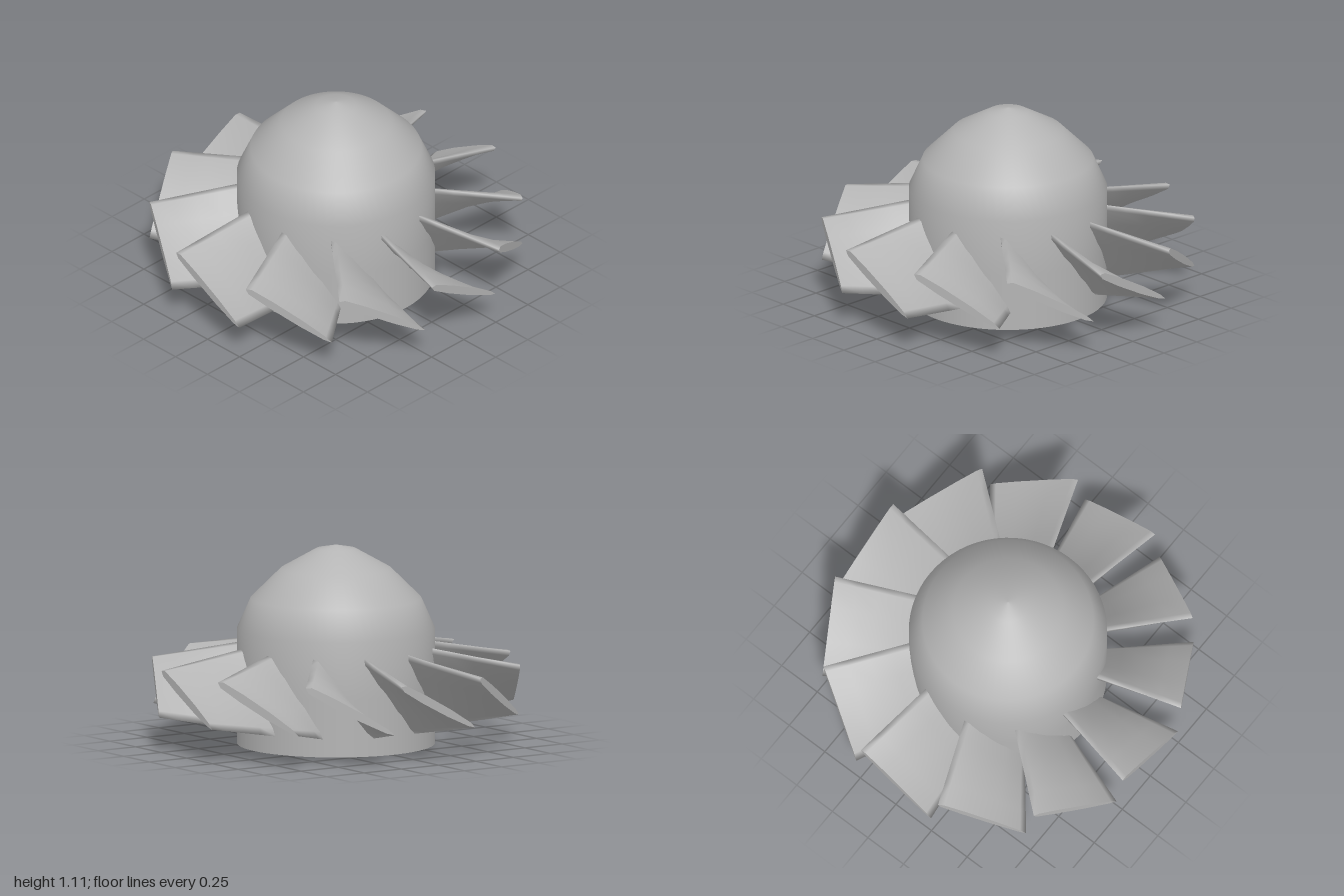
import * as THREE from 'three';

const BLADES = 12, ROOT = 0.5, TIP = 1.0, CHORD = 0.56, SPANS = 4;

// Thin lens section: [position along chord, offset], counterclockwise seen from the tip
const SECTION = [
  [-0.5, 0], [-0.45, -0.018], [-0.2, -0.024], [0.15, -0.022], [0.42, -0.012],
  [0.5, 0], [0.42, 0.012], [0.15, 0.022], [-0.2, 0.024], [-0.45, 0.018],
];

// Section turned to a pitch angle
function sectionAt(pitch) {
  const c = Math.cos(pitch), s = Math.sin(pitch);
  return SECTION.map(([u, t]) => new THREE.Vector2(u * CHORD * c + t * s, -u * CHORD * s + t * c));
}

// Twisted blade lofted straight from the steep root section to the flatter tip section
function bladeGeometry() {
  const root = sectionAt(THREE.MathUtils.degToRad(54));
  const tip = sectionAt(THREE.MathUtils.degToRad(28.5));
  const n = SECTION.length, pos = [], idx = [];
  for (let k = 0; k <= SPANS; k++) {
    const f = k / SPANS;
    for (let i = 0; i < n; i++) {
      const p = root[i].clone().lerp(tip[i], f);
      pos.push(p.x, p.y, ROOT + (TIP - ROOT) * f);
    }
  }
  for (let k = 0; k < SPANS; k++) {
    for (let i = 0; i < n; i++) {
      const a = k * n + i, b = k * n + (i + 1) % n;
      idx.push(a, b, b + n, a, b + n, a + n);
    }
  }
  // Flat end faces with their own vertices
  [[root, ROOT, false], [tip, TIP, true]].forEach(([ring, z, outward]) => {
    const start = pos.length / 3;
    ring.forEach((p) => pos.push(p.x, p.y, z));
    for (let i = 1; i < n - 1; i++) {
      if (outward) idx.push(start, start + i, start + i + 1);
      else idx.push(start, start + i + 1, start + i);
    }
  });
  const g = new THREE.BufferGeometry();
  g.setAttribute('position', new THREE.Float32BufferAttribute(pos, 3));
  g.setIndex(idx);
  g.computeVertexNormals();
  return g;
}

export function createModel() {
  const model = new THREE.Group();
  model.name = 'turbineFan';
  const grey = new THREE.MeshStandardMaterial({ color: 0xb4b4b4 });
  grey.name = 'plain grey';

  // Domed hub
  const profile = [[0.548, 0], [0.548, 0.32], [0.548, 0.64], [0.472, 0.81], [0.305, 0.975], [0.11, 1.085], [0, 1.107]]
    .map(([r, y]) => new THREE.Vector2(r, y));
  const hub = new THREE.Mesh(new THREE.LatheGeometry(profile, 64), grey);
  hub.name = 'hub';
  model.add(hub);

  // Flat underside
  const base = new THREE.Mesh(new THREE.CircleGeometry(0.548, 64), grey);
  base.name = 'hubBase';
  base.rotation.x = Math.PI / 2;
  model.add(base);

  // Ring of pitched blades
  const bladeRing = new THREE.Group();
  bladeRing.name = 'bladeRing';
  const geometry = bladeGeometry();
  for (let i = 0; i < BLADES; i++) {
    const blade = new THREE.Mesh(geometry, grey);
    blade.name = 'blade' + (i + 1);
    blade.position.y = 0.323;
    blade.rotation.y = (i / BLADES) * Math.PI * 2;
    bladeRing.add(blade);
  }
  model.add(bladeRing);
  return model;
}
